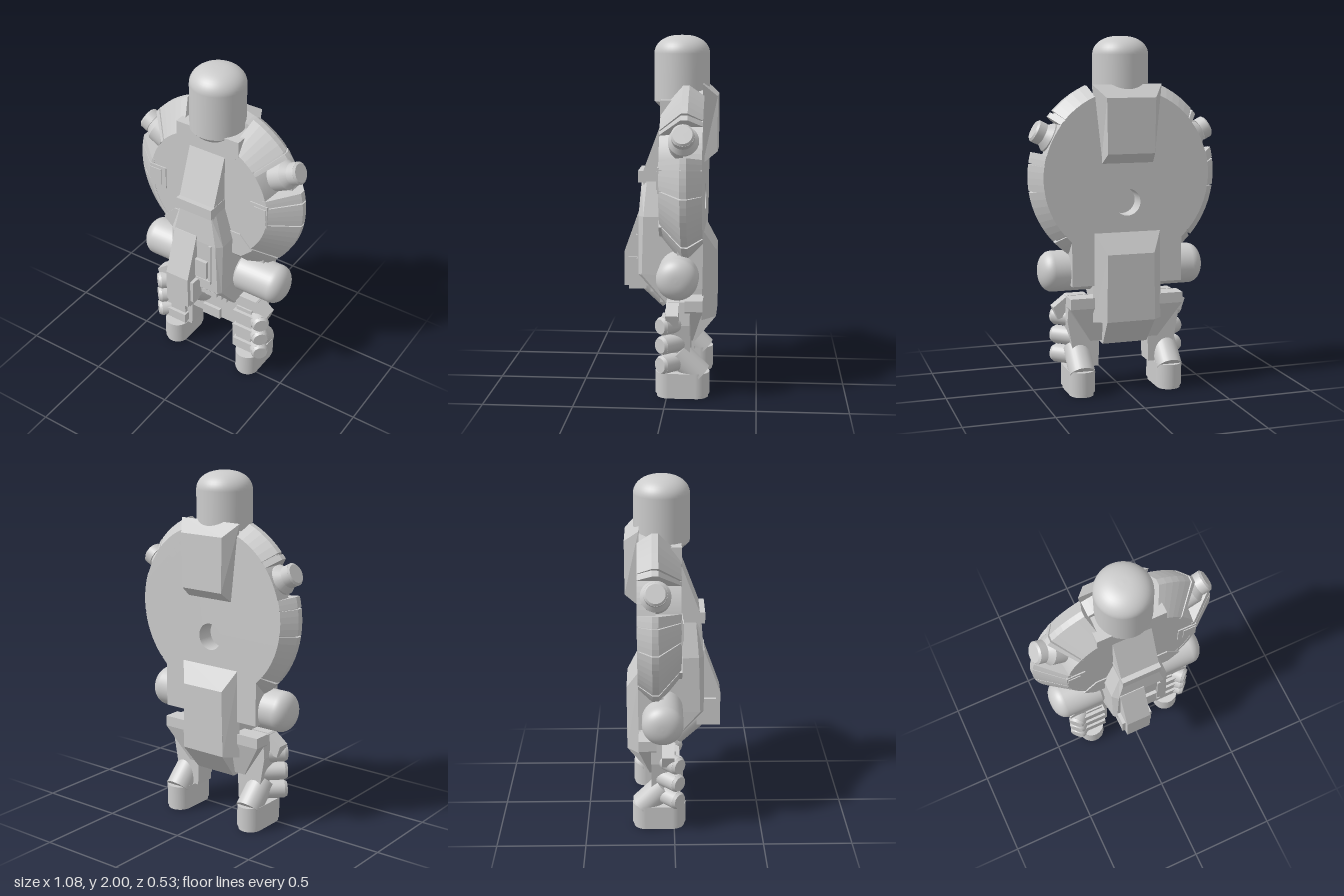
import * as THREE from 'three';

const mat = new THREE.MeshStandardMaterial({ color: 0xcccccc });
const CY = 1.235; // disc centre height

// flat-shaded solid through equal-length convex loops of [x, y, z]
function loft(loops) {
  const tris = [], n = loops[0].length, last = loops[loops.length - 1];
  for (let k = 0; k < loops.length - 1; k++) {
    for (let i = 0; i < n; i++) {
      const j = (i + 1) % n, a = loops[k], b = loops[k + 1];
      tris.push([a[i], a[j], b[j]], [a[i], b[j], b[i]]);
    }
  }
  for (let i = 1; i < n - 1; i++) {
    tris.push([loops[0][0], loops[0][i + 1], loops[0][i]], [last[0], last[i], last[i + 1]]);
  }
  let vol = 0;
  for (const [a, b, c] of tris) {
    vol += new THREE.Vector3(...a).dot(new THREE.Vector3(...b).cross(new THREE.Vector3(...c)));
  }
  const pos = tris.flatMap(([a, b, c]) => (vol < 0 ? [a, c, b] : [a, b, c])).flat();
  const g = new THREE.BufferGeometry();
  g.setAttribute('position', new THREE.Float32BufferAttribute(pos, 3));
  g.computeVertexNormals();
  return g;
}

// box between two corners
function box(x0, x1, y0, y1, z0, z1) {
  return new THREE.BoxGeometry(x1 - x0, y1 - y0, z1 - z0)
    .translate((x0 + x1) / 2, (y0 + y1) / 2, (z0 + z1) / 2);
}

// shape in x, y pushed from z0 to z1
const polygon = pts => new THREE.Shape(pts.map(p => new THREE.Vector2(...p)));
function plate(shape, z0, z1) {
  return new THREE.ExtrudeGeometry(shape, { depth: z1 - z0, bevelEnabled: false, curveSegments: 48 }).translate(0, 0, z0);
}

// outline in z, y pushed from x0 to x1
const profile = (pts, x0, x1) => loft([x0, x1].map(x => pts.map(([z, y]) => [x, y, z])));

const rect = (x0, x1, y, z0, z1) => [[x0, y, z1], [x1, y, z1], [x1, y, z0], [x0, y, z0]];
const backRect = (hx0, hx1, y0, y1, z) => [[-hx0, y0, z], [hx0, y0, z], [hx1, y1, z], [-hx1, y1, z]];

// section of the disc rim, angles in degrees
function rim(a0, a1, inset) {
  const r1 = 0.54 - inset, f = 0.04 - inset;
  const sec = [[0.37, f], [0.388, f], [r1, -0.085 - inset / 2], [r1, -0.12], [0.478 - inset / 2, -0.2], [0.38, -0.2]];
  const steps = Math.max(2, Math.ceil((a1 - a0) / 5)), loops = [];
  for (let i = 0; i <= steps; i++) {
    const a = THREE.MathUtils.degToRad(a0 + (a1 - a0) * i / steps);
    loops.push(sec.map(([r, z]) => [r * Math.cos(a), CY + r * Math.sin(a), z]));
  }
  return loft(loops);
}

// cylinder running from point a to point b
function rod(a, b, ra, rb) {
  const A = new THREE.Vector3(...a), B = new THREE.Vector3(...b), d = B.clone().sub(A);
  const g = new THREE.CylinderGeometry(rb, ra, d.length(), 28);
  g.applyQuaternion(new THREE.Quaternion().setFromUnitVectors(new THREE.Vector3(0, 1, 0), d.normalize()));
  return g.translate(...A.add(B).multiplyScalar(0.5).toArray());
}

// domed cylinder standing on y = 0; doubled points keep its corners sharp
function domed(r, straight, dome, chamfer) {
  const pts = [[0, 0], [r - chamfer, 0], [r - chamfer, 0], [r, chamfer], [r, chamfer], [r, straight]];
  for (let i = 1; i <= 12; i++) {
    const c = Math.max(0, Math.cos(i / 12 * Math.PI / 2)), s = Math.sin(i / 12 * Math.PI / 2);
    pts.push([i === 12 ? 0 : r * (0.7 * c + 0.3 * Math.sqrt(c)), straight + dome * s]);
  }
  return new THREE.LatheGeometry(pts.map(p => new THREE.Vector2(...p)), 40);
}

// foot outline, optionally with the two sole sockets
function stadium(r, holes) {
  const s = new THREE.Shape();
  s.absarc(0.26, 0.01, r, Math.PI, 2 * Math.PI);
  s.absarc(0.26, 0.163, r, 0, Math.PI);
  if (holes) for (const y of [0.01, 0.163]) s.holes.push(new THREE.Path().absarc(0.26, y, 0.042, 0, 2 * Math.PI, true));
  return s;
}
const upright = (shape, y0, y1) => plate(shape, 0, y1 - y0).rotateX(-Math.PI / 2).translate(0, y0, 0);

// mirror a geometry in x, keeping its faces outward
function mirrored(geometry) {
  const g = geometry.index ? geometry.toNonIndexed() : geometry;
  g.scale(-1, 1, 1);
  for (const key of ['position', 'normal']) {
    const t = g.attributes[key];
    for (let i = 0; i < t.count; i += 3) {
      const p = [t.getX(i), t.getY(i), t.getZ(i)];
      t.setXYZ(i, t.getX(i + 1), t.getY(i + 1), t.getZ(i + 1));
      t.setXYZ(i + 1, ...p);
    }
  }
  return g;
}

export function createModel() {
  const model = new THREE.Group();
  const add = (name, g, parent = model) => {
    const m = new THREE.Mesh(g, mat);
    m.name = name;
    parent.add(m);
  };

  // head
  add('head', domed(0.155, 0.3, 0.1, 0.035).translate(0, 1.6, -0.065));
  add('neckCollar', plate(polygon([[-0.2, 1.65], [-0.2, 1.56], [-0.17, 1.52], [0.17, 1.52], [0.2, 1.56], [0.2, 1.65]]), -0.2, 0.042));

  // disc core, with a round socket in the back
  const disc = new THREE.Shape().absarc(0, CY, 0.475, 0, 2 * Math.PI);
  disc.holes.push(new THREE.Path().absarc(0, 1.09, 0.075, 0, 2 * Math.PI, true));
  add('discCore', plate(disc, -0.2, -0.1));
  add('discFace', new THREE.CylinderGeometry(0.385, 0.4, 0.138, 64).rotateX(Math.PI / 2).translate(0, CY, -0.031));

  // back blocks
  add('upperBackBlock', loft([backRect(0.15, 0.2, 1.3, 1.74, -0.19), backRect(0.135, 0.14, 1.365, 1.67, -0.27)]));
  add('lowerBackBlock', loft([backRect(0.2, 0.2, 0.42, 0.94, -0.19), backRect(0.14, 0.135, 0.43, 0.81, -0.268)]));

  // chest strip and clasp
  add('chestStrip', profile([[0, 1.53], [0.04, 1.53], [0.145, 1.25], [0.145, 1.16], [0, 1.16]], -0.113, 0.113));
  add('chestClasp', box(-0.115, 0.115, 1.185, 1.25, 0, 0.175));

  // belly, with chamfered front corners; its back stays clear of the disc socket
  const belly = (y, xf, xs, zf, c, zb) =>
    [[-xf, y, zf], [xf, y, zf], [xs, y, zf - c], [xs, y, zb], [-xs, y, zb], [-xs, y, zf - c]];
  add('belly', loft([
    belly(1.19, 0.1, 0.115, 0.155, 0.03, -0.01), belly(1, 0.14, 0.172, 0.17, 0.03, -0.01),
    belly(0.67, 0.155, 0.172, 0.17, 0.02, -0.19), belly(0.48, 0.155, 0.165, 0, 0.01, -0.19),
  ]));
  add('hipPlate', box(-0.32, 0.32, 0.63, 0.9, -0.2, -0.06));

  // offset nose with cheek plates
  add('nose', profile([[0.13, 1.03], [0.172, 1.03], [0.265, 0.77], [0.265, 0.57], [0.13, 0.57]], -0.132, 0.015));
  add('noseCheeks', box(-0.152, 0.035, 0.6, 0.74, 0.13, 0.24));
  add('noseTip', box(-0.09, 0.01, 0.55, 0.58, 0.14, 0.24));
  add('bellyBox', box(0.01, 0.09, 0.76, 0.88, 0.15, 0.19));
  add('bellyBracket', box(0.01, 0.115, 0.73, 0.75, 0.15, 0.185));
  add('bellyRail', box(0.098, 0.115, 0.73, 1.0, 0.15, 0.18));
  add('underTube', rod([-0.055, 0.49, 0], [-0.055, 0.61, 0.13], 0.075, 0.075));
  for (const y of [0.52, 0.58, 0.64]) {
    const z = (y - 0.48) * 0.89;
    add('ventSlat', box(0.03, 0.14, y - 0.015, y + 0.015, z - 0.04, z + 0.015));
  }

  // pelvis
  add('pelvis', loft([
    rect(-0.13, 0.13, 0.28, -0.15, -0.05), rect(-0.14, 0.14, 0.43, -0.268, -0.02), rect(-0.14, 0.14, 0.56, -0.268, -0.02),
  ]));
  add('pelvisFront', box(-0.165, 0.165, 0.3, 0.48, -0.09, -0.02));
  add('pelvisTab', box(-0.06, 0.06, 0.3, 0.37, -0.06, 0.0));

  // everything that comes in pairs; the right side mirrors the left
  for (const side of [1, -1]) {
    const half = new THREE.Group();
    half.name = side > 0 ? 'leftSide' : 'rightSide';
    model.add(half);
    const put = (name, g) => add(name, side > 0 ? g : mirrored(g), half);

    // rim panels over a slightly smaller backing, so seams read as grooves
    for (const [a, b] of [[-62, 15], [37.5, 66.5]]) put('rimBacking', rim(a, b, 0.016));
    for (const [a, b] of [[-62, -42.7], [-41.3, -8.6], [-7.8, 7.8], [8.6, 15], [37.5, 40.7], [42, 67]]) put('rimPanel', rim(a, b, 0));
    put('sideTab', box(0.28, 0.39, 1.165, 1.305, 0, 0.045));
    put('sideTabInset', box(0.31, 0.385, 1.185, 1.285, 0, 0.05));
    put('lowerFacePlate', plate(polygon([[0.12, 1.05], [0.22, 1.05], [0.3, 0.965], [0.23, 0.9], [0.12, 0.9]]), 0, 0.045));

    // side lamp, pointing radially
    const at = r => [r * Math.cos(0.475), CY + r * Math.sin(0.475), -0.1];
    put('lampBase', rod(at(0.4), at(0.48), 0.083, 0.083));
    put('lampNeck', rod(at(0.48), at(0.52), 0.083, 0.05));
    put('lampCap', rod(at(0.515), at(0.56), 0.063, 0.063));
    put('lampLens', rod(at(0.559), at(0.57), 0.063, 0.052));

    // arm stub
    put('armStub', domed(0.115, 0.23, 0.075, 0.015).rotateZ(-Math.PI / 2).translate(0.175, 0.7, -0.065));

    // leg with a wing behind the hip, ridges and angled pods
    put('leg', plate(polygon([[0.15, 0.15], [0.145, 0.3], [0.17, 0.5], [0.2, 0.55], [0.32, 0.55], [0.33, 0.42], [0.3, 0.25], [0.3, 0.15]]), -0.13, -0.01));
    put('legShoulder', plate(polygon([[0.18, 0.48], [0.2, 0.555], [0.31, 0.555], [0.395, 0.49], [0.37, 0.42]]), -0.07, 0.0));
    put('hipWing', loft([rect(0.1, 0.2, 0.3, -0.14, -0.1), rect(0.1, 0.33, 0.5, -0.2, -0.1), rect(0.1, 0.33, 0.56, -0.2, -0.1)]));
    put('legFront', box(0.185, 0.29, 0.15, 0.48, -0.05, 0.01));
    for (const y of [0.205, 0.315, 0.425]) {
      put('legRidge', box(0.175, 0.31, y - 0.03, y + 0.03, -0.05, 0.03));
      put('pod', rod([0.26, y, -0.08], [0.36, y, 0.02], 0.052, 0.052));
      put('podCap', rod([0.359, y, 0.019], [0.372, y, 0.032], 0.052, 0.042));
    }

    // foot with two sole sockets and a sloping ankle
    put('footSole', upright(stadium(0.068, true), 0, 0.02));
    put('foot', upright(stadium(0.075, false), 0.02, 0.145));
    put('ankle', rod([0.26, 0.122, -0.183], [0.26, 0.25, -0.055], 0.074, 0.074));
  }
  return model;
}
